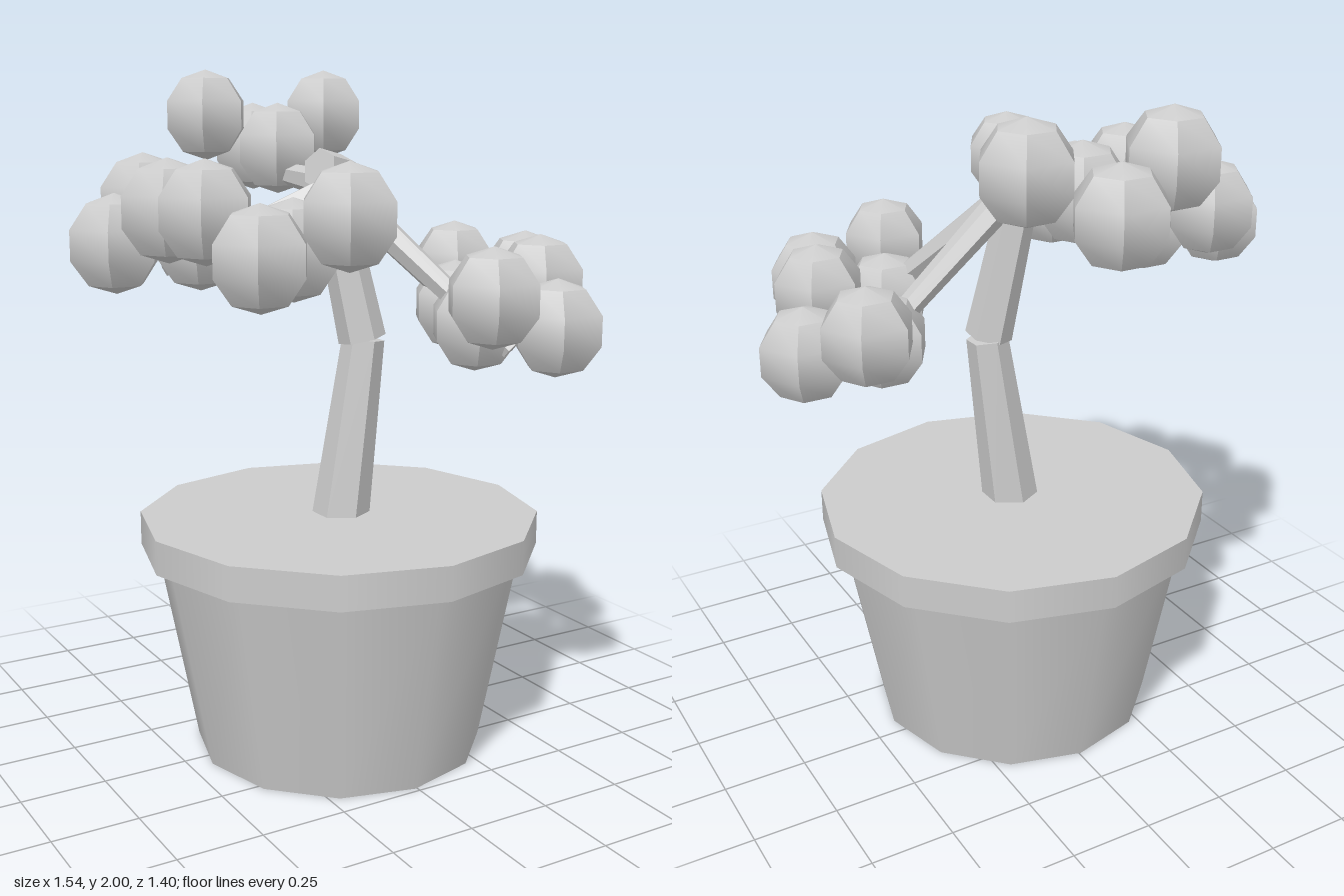
import * as THREE from 'three';
import { toCreasedNormals } from 'three/addons/utils/BufferGeometryUtils.js';

export function createModel() {
  const model = new THREE.Group();
  model.name = 'pottedTree';
  const clay = new THREE.MeshStandardMaterial({ color: 0xcccccc });
  clay.name = 'pale grey';

  const add = (name, geometry, parent = model) => {
    const mesh = new THREE.Mesh(geometry, clay);
    mesh.name = name;
    parent.add(mesh);
    return mesh;
  };

  // Six-sided tapered limb running from one point to another
  const up = new THREE.Vector3(0, 1, 0);
  const limb = (name, from, to, r0, r1, parent = model) => {
    const a = new THREE.Vector3(...from);
    const b = new THREE.Vector3(...to);
    const dir = b.clone().sub(a);
    const geometry = new THREE.CylinderGeometry(r1, r0, dir.length(), 6);
    const mesh = add(name, toCreasedNormals(geometry, 0.61), parent);
    mesh.position.copy(a).add(b).multiplyScalar(0.5);
    mesh.quaternion.setFromUnitVectors(up, dir.normalize());
    return mesh;
  };

  // Twelve-sided pot with an overhanging rim, closed on top
  const pot = new THREE.Group();
  pot.name = 'pot';
  pot.position.set(-0.006, 0, 0.056);
  model.add(pot);
  add('potBody', new THREE.CylinderGeometry(0.55, 0.43, 0.62, 12), pot).position.y = 0.31;
  add('potRim', new THREE.CylinderGeometry(0.592, 0.592, 0.1, 12), pot).position.y = 0.66;

  // Crooked trunk and the tilted knot where the branches meet
  limb('lowerTrunk', [0, 0.7, 0.057], [0.065, 1.23, 0.075], 0.085, 0.062);
  limb('upperTrunk', [0.055, 1.23, 0.085], [-0.03, 1.69, 0.035], 0.07, 0.055);
  limb('trunkKnot', [0.02, 1.7, 0.02], [-0.07, 1.72, 0.055], 0.06, 0.06);

  // Each branch: tip, and the x, z of its four leaf balls (inner, outer, then two raised sides)
  const branches = [
    { name: 'back', y: 1.765, tip: [0.04, -0.47],
      balls: [[0.02, -0.362], [0.053, -0.593], [-0.152, -0.51], [0.235, -0.453]] },
    { name: 'left', y: 1.3, tip: [0.5, 0.05],
      balls: [[0.415, 0.037], [0.64, 0.05], [0.54, -0.148], [0.515, 0.247]] },
    { name: 'frontLeft', y: 1.3, tip: [0.31, 0.46],
      balls: [[0.255, 0.366], [0.387, 0.56], [0.48, 0.362], [0.156, 0.58]] },
    { name: 'frontRight', y: 1.528, tip: [-0.38, 0.41],
      balls: [[-0.305, 0.33], [-0.48, 0.48], [-0.52, 0.255], [-0.276, 0.565]] },
    { name: 'right', y: 1.528, tip: [-0.51, -0.04],
      balls: [[-0.41, -0.016], [-0.64, -0.066], [-0.48, -0.24], [-0.576, 0.148]] },
  ];

  const ballGeometry = toCreasedNormals(new THREE.SphereGeometry(0.137, 6, 5), 0.61);
  for (const { name, y, tip, balls } of branches) {
    const bough = new THREE.Group();
    bough.name = name + 'Bough';
    model.add(bough);
    limb(name + 'Branch', [-0.005, 1.67, 0.045], [tip[0], y - 0.07, tip[1]], 0.045, 0.028, bough);
    balls.forEach(([x, z], i) => {
      add('leafBall', ballGeometry, bough).position.set(x, i < 2 ? y : y + 0.1, z);
    });
  }

  return model;
}
